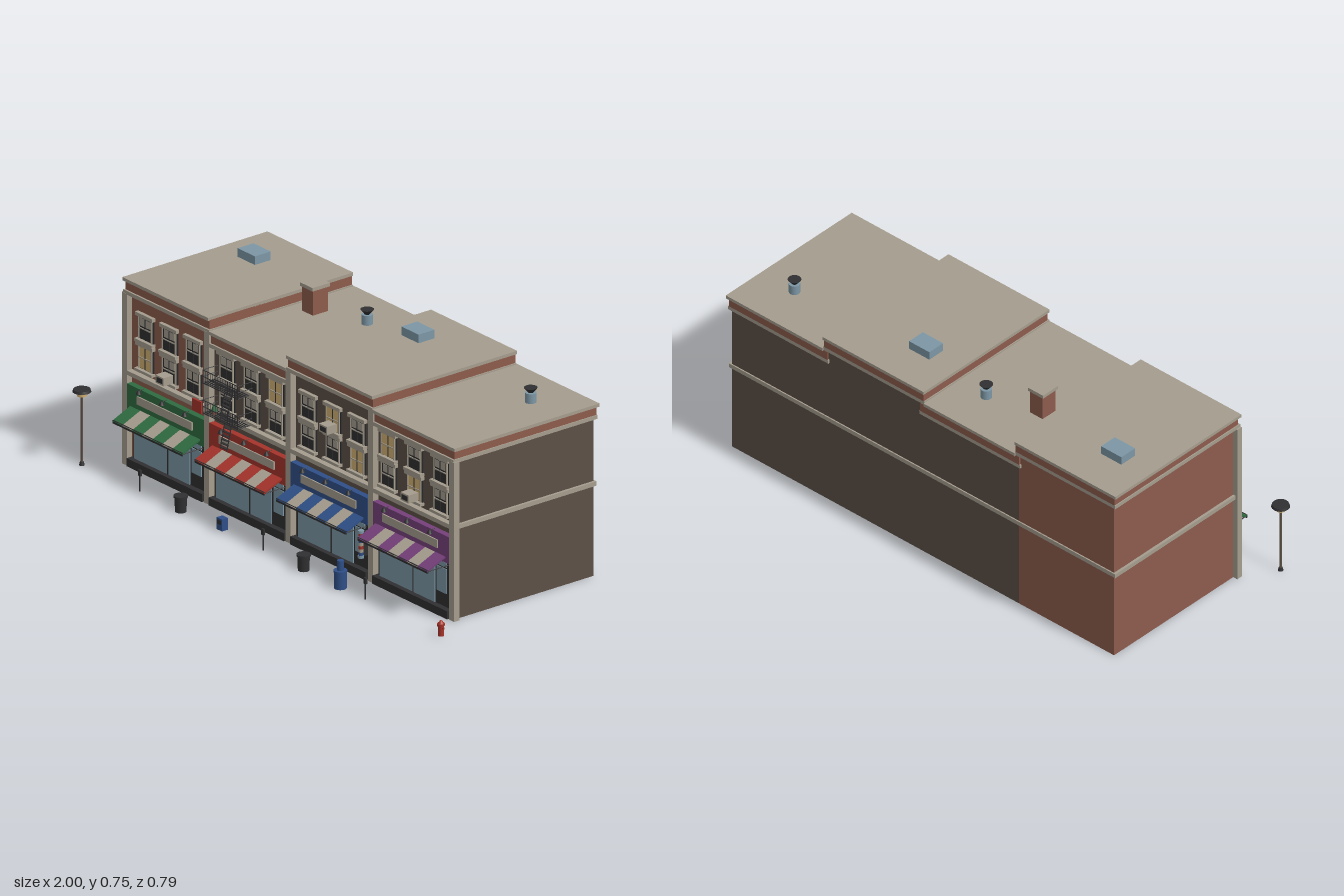
import * as THREE from 'three';

const mat = (name, color) => Object.assign(new THREE.MeshStandardMaterial({ color }), { name });
const M = {
  brick: mat('red brick', 0x8c5c4c), brown: mat('brown brick', 0x5c5045), trim: mat('stone trim', 0xa59d8e),
  dark: mat('dark metal', 0x303032), glass: mat('blue glass', 0x7d97a6), red: mat('red paint', 0xa5332a),
  blue: mat('blue paint', 0x2f4f88), green: mat('green paint', 0x2f6b41), purple: mat('purple paint', 0x75407a),
  tan: mat('warm light', 0xd2b070),
};

// Box given by its min and max corners
function box(parent, name, m, x0, x1, y0, y1, z0, z1) {
  const mesh = new THREE.Mesh(new THREE.BoxGeometry(x1 - x0, y1 - y0, z1 - z0), m);
  mesh.position.set((x0 + x1) / 2, (y0 + y1) / 2, (z0 + z1) / 2);
  mesh.name = name;
  parent.add(mesh);
  return mesh;
}

// Upright cylinder or cone from y0 to y1
function cyl(parent, name, m, x, z, y0, y1, rBottom, rTop = rBottom, sides = 16) {
  const mesh = new THREE.Mesh(new THREE.CylinderGeometry(rTop, rBottom, y1 - y0, sides), m);
  mesh.position.set(x, (y0 + y1) / 2, z);
  mesh.name = name;
  parent.add(mesh);
  return mesh;
}

// Thin round bar between two points
function bar(parent, name, m, a, b, r = 0.0015) {
  const p = new THREE.Vector3(...a), d = new THREE.Vector3(...b).sub(p);
  const mesh = new THREE.Mesh(new THREE.CylinderGeometry(r, r, d.length(), 6), m);
  mesh.position.copy(p).addScaledVector(d, 0.5);
  mesh.quaternion.setFromUnitVectors(new THREE.Vector3(0, 1, 0), d.normalize());
  mesh.name = name;
  parent.add(mesh);
}

function group(parent, name) {
  const g = new THREE.Group();
  g.name = name;
  parent.add(g);
  return g;
}

// Sash window with lintel, sill and blind
function sashWindow(parent, x, y, lit, cooler) {
  const g = group(parent, 'sashWindow'), pane = lit ? M.tan : M.dark;
  box(g, 'frame', M.dark, x - 0.043, x + 0.043, y - 0.043, y + 0.045, 0.215, 0.226);
  box(g, 'pane', pane, x - 0.035, x + 0.035, y - 0.04, y + 0.04, 0.22, 0.228);
  box(g, 'lintel', M.trim, x - 0.047, x + 0.047, y + 0.043, y + 0.056, 0.215, 0.236);
  box(g, 'sill', M.trim, x - 0.047, x + 0.047, y - 0.052, y - 0.042, 0.215, 0.24);
  if (!lit) box(g, 'blind', M.trim, x - 0.028, x + 0.028, y + 0.008, y + 0.036, 0.222, 0.229);
  box(g, 'meetingRail', M.trim, x - 0.036, x + 0.036, y - 0.002, y + 0.002, 0.222, 0.231);
  box(g, 'mullion', M.dark, x - 0.002, x + 0.002, y - 0.04, y + 0.04, 0.222, 0.23);
  for (const s of [-1, 1])
    box(g, 'jamb', M.trim, x + s * 0.035 - 0.002, x + s * 0.035 + 0.002, y - 0.042, y + 0.042, 0.222, 0.231);
  if (cooler) {
    box(g, 'windowCooler', M.trim, x - 0.022, x + 0.022, y - 0.04, y - 0.01, 0.222, 0.271);
    box(g, 'coolerGrille', M.dark, x - 0.016, x + 0.016, y - 0.034, y - 0.016, 0.27, 0.272);
  }
}

// Shop front with fascia, glazing, door and striped awning
function shopFront(parent, x, paint, note) {
  const g = group(parent, 'shopFront');
  box(g, 'fascia', paint, x - 0.21, x + 0.21, 0.205, 0.306, 0.21, 0.245);
  box(g, 'signBoard', M.trim, x - 0.15, x + 0.15, 0.248, 0.278, 0.243, 0.25);
  box(g, 'base', M.dark, x - 0.205, x + 0.205, 0, 0.03, 0.21, 0.25);
  box(g, 'shopFrame', M.dark, x - 0.195, x + 0.195, 0.028, 0.205, 0.21, 0.228);
  box(g, 'displayGlass', M.glass, x - 0.187, x + 0.115, 0.03, 0.172, 0.22, 0.231);
  box(g, 'doorGlass', M.glass, x + 0.125, x + 0.178, 0.08, 0.172, 0.22, 0.231);
  box(g, 'transomGlass', M.glass, x - 0.187, x + 0.178, 0.178, 0.195, 0.22, 0.231);
  box(g, 'glazingBar', M.dark, x - 0.004, x, 0.03, 0.172, 0.225, 0.234);
  if (note) box(g, 'windowSign', note, x - 0.11, x - 0.02, 0.14, 0.17, 0.228, 0.236);
  const n = 7, w = 0.38 / n;
  for (let i = 0; i < n; i++) {
    const x0 = x - 0.19 + i * w;
    const strip = box(g, 'awningStripe', i % 2 ? M.trim : paint, x0, x0 + w, 0.206, 0.212, 0.2415, 0.3285);
    strip.rotation.x = 0.4;
  }
  box(g, 'awningValance', M.dark, x - 0.19, x + 0.19, 0.185, 0.197, 0.32, 0.325);
  for (const s of [-1, 1]) {
    bar(g, 'awningArm', M.dark, [x + s * 0.186, 0.19, 0.23], [x + s * 0.186, 0.19, 0.322], 0.002);
  }
  for (const s of [-1, 0, 1]) {
    bar(g, 'signLampArm', M.dark, [x + s * 0.125, 0.31, 0.24], [x + s * 0.125, 0.31, 0.262]);
    cyl(g, 'signLampShade', M.dark, x + s * 0.125, 0.262, 0.298, 0.311, 0.01, 0.004, 10);
  }
}

// One house of the terrace
function house(parent, h) {
  const g = group(parent, 'house'), { x0, x1, H, cx } = h;
  box(g, 'walls', h.wall, x0, x1, 0, H - 0.05, -0.385, 0.222);
  box(g, 'parapet', M.brick, x0 - 0.008, x1 + 0.008, H - 0.05, H - 0.01, -0.392, 0.238);
  box(g, 'lowerCornice', M.trim, x0 - 0.012, x1 + 0.012, H - 0.058, H - 0.044, -0.392, 0.245);
  box(g, 'roofCap', M.trim, h.c0, h.c1, H - 0.012, H, -0.397, 0.245);
  box(g, 'middleBand', M.trim, x0 - 0.01, x1 + 0.01, 0.338, 0.354, -0.39, 0.245);
  for (let row = 0; row < 2; row++)
    for (let i = 0; i < 3; i++) {
      const id = row * 3 + i;
      sashWindow(g, cx + (i - 1) * h.gap, row ? 0.527 : 0.417, h.lit.includes(id), h.cool === id);
    }
  shopFront(g, cx, h.paint, h.note);
}

// Iron balconies joined by slanted ladders
function fireEscape(parent) {
  const g = group(parent, 'fireEscape'), a = -0.395, b = -0.205, zf = 0.292;
  for (const y of [0.363, 0.475]) {
    for (let i = 0; i < 6; i++) bar(g, 'floorSlat', M.dark, [a, y, 0.242 + i * 0.01], [b, y, 0.242 + i * 0.01], 0.002);
    for (const ry of [y + 0.024, y + 0.048]) {
      bar(g, 'frontRail', M.dark, [a, ry, zf], [b, ry, zf]);
      for (const x of [a, b]) bar(g, 'sideRail', M.dark, [x, ry, 0.225], [x, ry, zf]);
    }
    for (const x of [a, b]) bar(g, 'sideBeam', M.dark, [x, y, 0.225], [x, y, zf], 0.002);
    for (let i = 0; i <= 14; i++) {
      const x = a + (b - a) * i / 14;
      bar(g, 'baluster', M.dark, [x, y, zf], [x, y + 0.048, zf]);
    }
  }
  for (const [top, foot] of [[0.478, 0.365], [0.365, 0.255]]) {
    for (const x of [-0.312, -0.276]) bar(g, 'ladderRail', M.dark, [x, top, 0.257], [x, foot, 0.282], 0.002);
    for (let i = 0; i < 8; i++) {
      const t = (i + 0.5) / 8, y = top + (foot - top) * t;
      box(g, 'ladderTread', M.dark, -0.312, -0.276, y - 0.001, y + 0.001, 0.252 + t * 0.025, 0.262 + t * 0.025);
    }
  }
  cyl(g, 'flowerPot', M.brick, -0.355, 0.274, 0.365, 0.378, 0.007, 0.01, 10);
  cyl(g, 'potPlant', M.green, -0.355, 0.274, 0.378, 0.402, 0.012, 0.003, 8);
}

function rooftop(parent) {
  const g = group(parent, 'rooftop');
  box(g, 'chimney', M.brick, -0.362, -0.304, 0.64, 0.74, -0.187, -0.121);
  box(g, 'chimneyCap', M.trim, -0.368, -0.298, 0.738, 0.751, -0.192, -0.115);
  for (const x of [-0.735, 0.158]) box(g, 'skylight', M.glass, x - 0.047, x + 0.047, 0.69, 0.726, -0.246, -0.176);
  for (const x of [-0.132, 0.76]) {
    cyl(g, 'ventPipe', M.glass, x, -0.222, 0.643, 0.681, 0.02);
    cyl(g, 'ventCowl', M.dark, x, -0.222, 0.681, 0.699, 0.009, 0.024);
  }
}

function streetFurniture(parent) {
  const g = group(parent, 'streetFurniture');
  cyl(g, 'lampFoot', M.dark, -0.968, 0.362, 0, 0.012, 0.01, 0.007);
  cyl(g, 'lampPost', M.brown, -0.968, 0.362, 0, 0.26, 0.004);
  cyl(g, 'lampGlow', M.tan, -0.968, 0.362, 0.258, 0.276, 0.017);
  cyl(g, 'lampHood', M.dark, -0.968, 0.362, 0.274, 0.283, 0.033, 0.03);
  for (const x of [-0.435, 0.235]) {
    cyl(g, 'litterBin', M.dark, x, 0.357, 0, 0.055, 0.02, 0.022);
    cyl(g, 'binRim', M.dark, x, 0.357, 0.053, 0.06, 0.025);
  }
  box(g, 'newspaperBox', M.blue, -0.225, -0.195, 0.006, 0.05, 0.343, 0.369);
  box(g, 'newspaperWindow', M.dark, -0.22, -0.2, 0.028, 0.044, 0.367, 0.37);
  cyl(g, 'postBox', M.blue, 0.437, 0.358, 0, 0.067, 0.022);
  cyl(g, 'postBoxRim', M.blue, 0.437, 0.358, 0.06, 0.067, 0.024);
  cyl(g, 'postBoxNeck', M.blue, 0.437, 0.358, 0.067, 0.103, 0.012);
  for (const x of [-0.66, 0.012, 0.57]) {
    cyl(g, 'meterPost', M.dark, x, 0.355, 0, 0.06, 0.0025, 0.0025, 8);
    box(g, 'meterHead', M.dark, x - 0.006, x + 0.006, 0.058, 0.08, 0.351, 0.359);
  }
  cyl(g, 'hydrantBody', M.red, 0.982, 0.355, 0, 0.045, 0.011);
  cyl(g, 'hydrantCollar', M.red, 0.982, 0.355, 0.038, 0.045, 0.014);
  cyl(g, 'hydrantCap', M.red, 0.982, 0.355, 0.045, 0.057, 0.011, 0.003);
  bar(g, 'hydrantOutlets', M.red, [0.967, 0.03, 0.355], [0.997, 0.03, 0.355], 0.004);
}

export function createModel() {
  const root = new THREE.Group();
  root.name = 'shopTerrace';
  const houses = [
    { x0: -0.875, x1: -0.432, c0: -0.892, c1: -0.424, H: 0.694, cx: -0.657, gap: 0.13, wall: M.brick, paint: M.green, note: M.red, lit: [0], cool: 1 },
    { x0: -0.432, x1: 0.012, c0: -0.424, c1: 0, H: 0.645, cx: -0.21, gap: 0.134, wall: M.brown, paint: M.red, note: M.tan, lit: [5] },
    { x0: 0.012, x1: 0.46, c0: 0, c1: 0.47, H: 0.694, cx: 0.235, gap: 0.134, wall: M.brown, paint: M.blue, lit: [2, 4], cool: 4 },
    { x0: 0.46, x1: 0.902, c0: 0.47, c1: 0.92, H: 0.645, cx: 0.68, gap: 0.143, wall: M.brown, paint: M.purple, note: M.purple, lit: [1, 3], cool: 1 },
  ];
  houses.forEach((h) => house(root, h));
  // Stone piers between the houses
  for (const [x, top] of [[-0.88, 0.64], [-0.432, 0.64], [0.012, 0.64], [0.462, 0.64], [0.904, 0.592]])
    box(root, 'pier', M.trim, x - 0.014, x + 0.014, 0, top, 0.222, 0.2455);
  fireEscape(root);
  rooftop(root);
  streetFurniture(root);
  // Hanging sign
  box(root, 'hangingSign', M.red, -0.495, -0.447, 0.332, 0.376, 0.25, 0.258);
  bar(root, 'signBracket', M.dark, [-0.471, 0.37, 0.222], [-0.471, 0.37, 0.252], 0.002);
  // Striped barber pole
  const pole = group(root, 'barberPole');
  for (let i = 0; i < 7; i++)
    cyl(pole, 'poleStripe', [M.blue, M.trim, M.red, M.trim][i % 4], 0.422, 0.255, 0.09 + i * 0.012, 0.102 + i * 0.012, 0.009);
  for (const y of [0.08, 0.172]) cyl(pole, 'poleCap', M.glass, 0.422, 0.255, y, y + 0.01, 0.011);
  box(pole, 'poleBracket', M.dark, 0.416, 0.428, 0.085, 0.175, 0.222, 0.248);
  return root;
}
